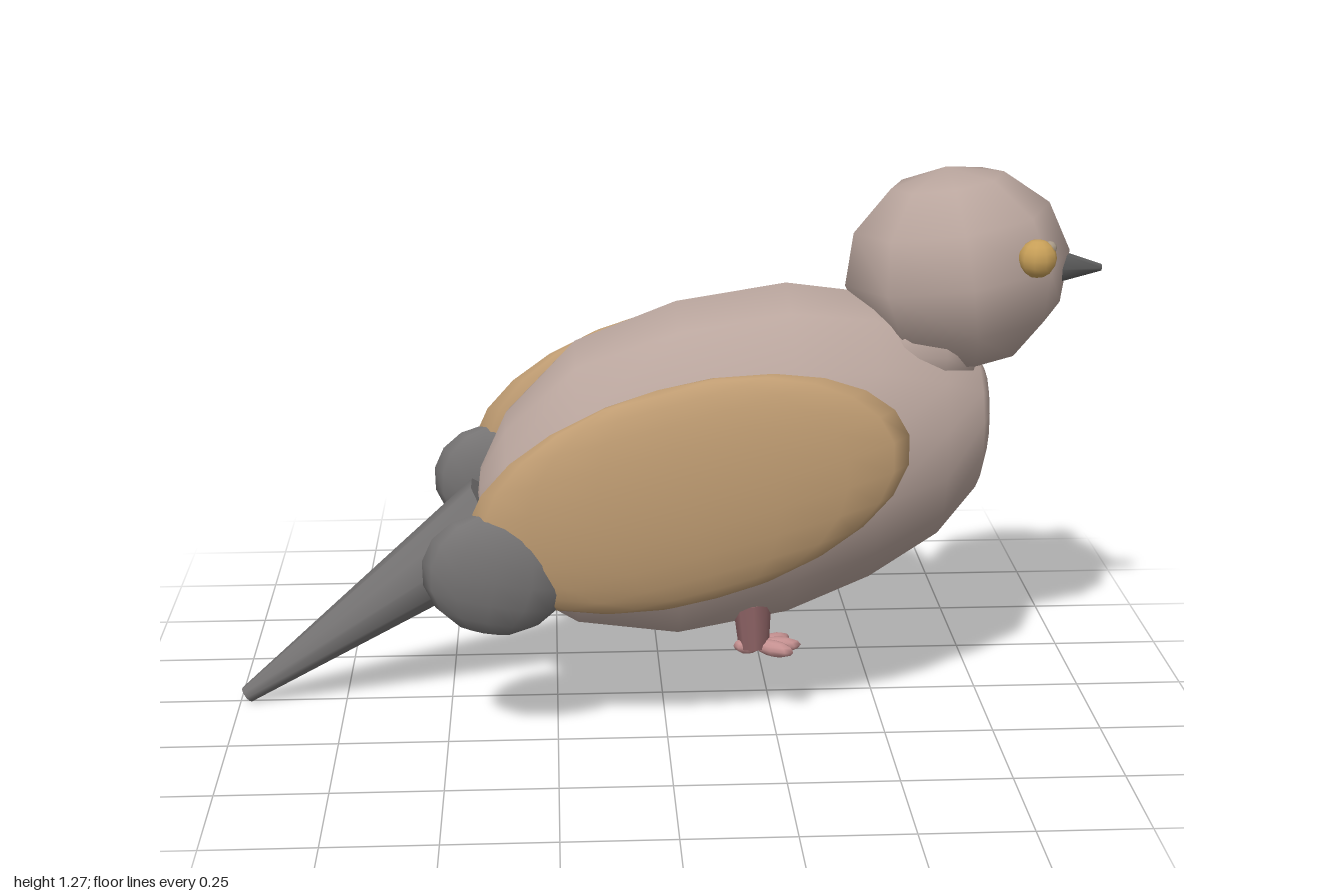
import * as THREE from 'three';

const paint = (name, color) => {
  const m = new THREE.MeshStandardMaterial({ color });
  m.name = name;
  return m;
};

// Lofted body: each station is [x, bottom, top, halfWidth], joined by elliptical rings
function loftBody(stations, sides) {
  const pos = [], idx = [];
  for (const [x, lo, hi, w] of stations) {
    for (let j = 0; j < sides; j++) {
      const a = (j / sides) * Math.PI * 2;
      pos.push(x, (lo + hi) / 2 + ((hi - lo) / 2) * Math.cos(a), w * Math.sin(a));
    }
  }
  for (let i = 0; i < stations.length - 1; i++) {
    for (let j = 0; j < sides; j++) {
      const k = (j + 1) % sides;
      const a = i * sides + j, b = i * sides + k;
      idx.push(a, b, a + sides, b, b + sides, a + sides);
    }
  }
  // Close both ends with a slightly domed centre point
  const cap = (i, bulge) => {
    const [x, lo, hi] = stations[i];
    const c = pos.length / 3;
    pos.push(x + bulge, (lo + hi) / 2, 0);
    for (let j = 0; j < sides; j++) {
      const a = i * sides + j, b = i * sides + (j + 1) % sides;
      if (bulge < 0) idx.push(c, b, a);
      else idx.push(c, a, b);
    }
  };
  cap(0, -0.01);
  cap(stations.length - 1, 0.006);
  const g = new THREE.BufferGeometry();
  g.setAttribute('position', new THREE.Float32BufferAttribute(pos, 3));
  g.setIndex(idx);
  g.computeVertexNormals();
  return g;
}

export function createModel() {
  const bird = new THREE.Group();
  bird.name = 'bird';
  const plumage = paint('plumage', 0xb9a59d);
  const wingTan = paint('wingTan', 0xbf9c72);
  const slate = paint('slate', 0x757373);
  const beakGrey = paint('beakGrey', 0x5e5e5e);
  const eyeGold = paint('eyeGold', 0xc79f58);
  const glint = paint('glint', 0xa89a88);
  const pink = paint('pink', 0xc49090);
  const legPink = paint('legPink', 0x8f6466);

  const add = (name, geometry, material, p = [0, 0, 0]) => {
    const m = new THREE.Mesh(geometry, material);
    m.name = name;
    m.position.set(...p);
    bird.add(m);
    return m;
  };
  const blob = (name, material, p, r, sides = 10, rings = 8, tilt = 0) => {
    const g = new THREE.SphereGeometry(1, sides, rings);
    const m = add(name, g, material, p);
    m.scale.set(...r);
    m.rotation.z = tilt;
    return m;
  };
  // Tapered rod between two points
  const rod = (name, material, from, to, r0, r1, sides) => {
    const a = new THREE.Vector3(...from), b = new THREE.Vector3(...to);
    const dir = b.clone().sub(a);
    const m = add(name, new THREE.CylinderGeometry(r1, r0, dir.length(), sides), material);
    m.position.copy(a).add(b).multiplyScalar(0.5);
    m.quaternion.setFromUnitVectors(new THREE.Vector3(0, 1, 0), dir.normalize());
    return m;
  };

  // Body, neck and head
  add('body', loftBody([
    [-0.42, 0.41, 0.58, 0.07],
    [-0.36, 0.3, 0.71, 0.18],
    [-0.2, 0.205, 0.88, 0.265],
    [0.03, 0.175, 0.97, 0.3],
    [0.28, 0.225, 1.01, 0.31],
    [0.47, 0.31, 0.985, 0.29],
    [0.63, 0.41, 0.91, 0.215],
    [0.72, 0.52, 0.84, 0.15],
    [0.742, 0.59, 0.8, 0.09],
  ], 14), plumage);
  blob('neck', plumage, [0.58, 0.87, 0], [0.16, 0.14, 0.16]);
  blob('head', plumage, [0.67, 1.04, 0], [0.258, 0.235, 0.225], 8, 6, 0.15);

  // Beak and tail
  rod('beak', beakGrey, [0.89, 1.042, 0], [1, 1.037, 0], 0.042, 0.008, 6);
  rod('tail', slate, [-0.38, 0.455, 0], [-0.985, 0.021, 0], 0.112, 0.02, 10);

  // Paired parts
  for (const s of [1, -1]) {
    const side = s > 0 ? 'left' : 'right';
    blob(side + 'Wing', wingTan, [0.04, 0.615, s * 0.322], [0.5, 0.25, 0.064], 16, 12, 0.265);
    blob(side + 'WingTip', slate, [-0.383, 0.44, s * 0.322], [0.163, 0.143, 0.064], 12, 8, -0.2);
    blob(side + 'Eye', eyeGold, [0.816, 1.1, s * 0.171], [0.043, 0.043, 0.038]);
    blob(side + 'EyeGlint', glint, [0.843, 1.122, s * 0.166], [0.016, 0.016, 0.016], 8, 6);
    rod(side + 'Leg', legPink, [0.2, 0.29, s * 0.135], [0.205, 0.18, s * 0.14], 0.045, 0.035, 8);
    // Three splayed front toes and a short hind toe
    for (const [turn, len] of [[-0.55, 0.05], [0, 0.055], [0.55, 0.05], [Math.PI, 0.032]]) {
      const d = len * 0.8;
      const toe = blob(side + 'Toe', pink,
        [0.215 + Math.cos(turn) * d, 0.184, s * 0.145 + Math.sin(turn) * d],
        [len, 0.019, 0.02], 8, 6);
      toe.rotation.y = -turn;
    }
  }
  return bird;
}
